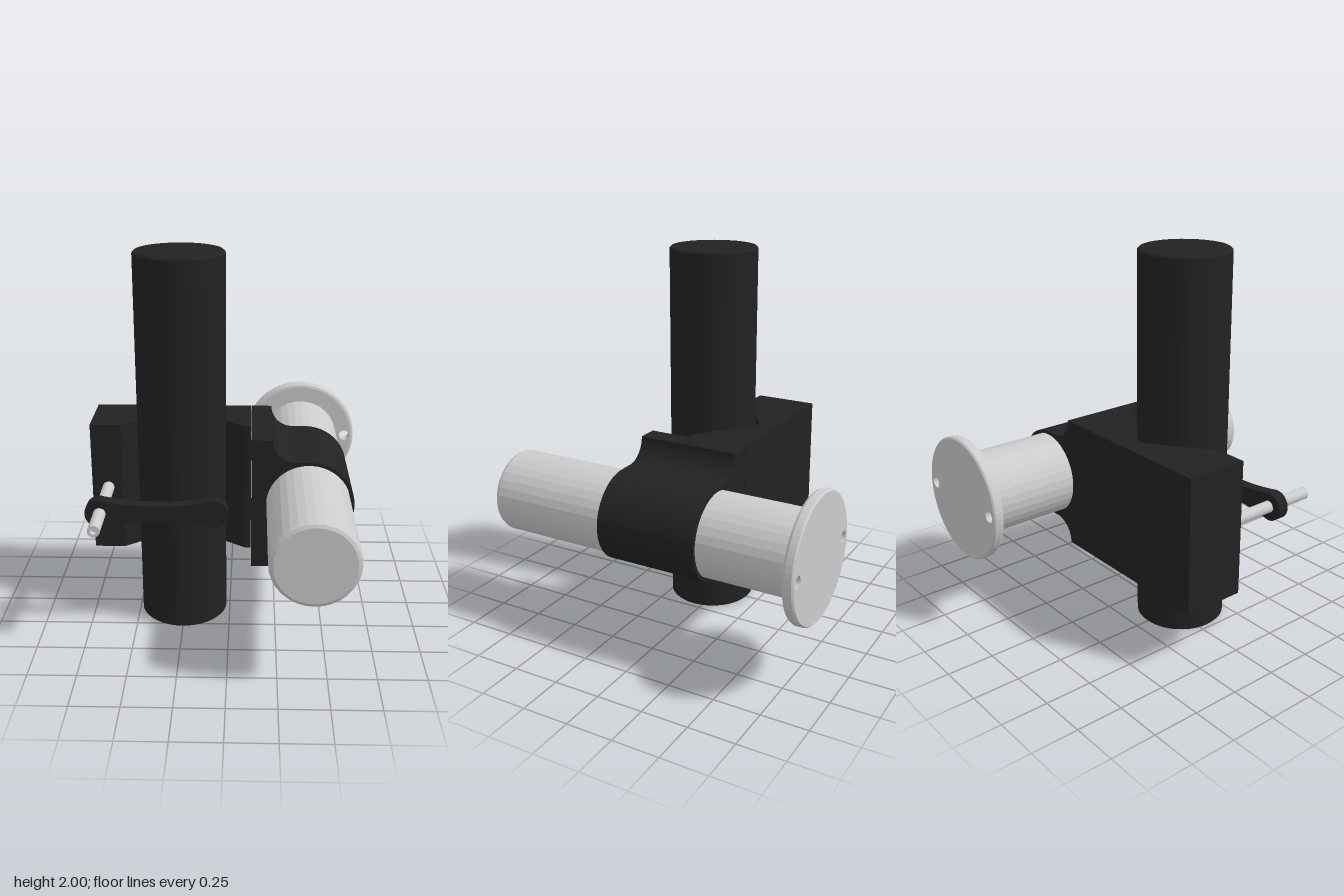
import * as THREE from 'three';

const grey = new THREE.MeshStandardMaterial({ color: 0xcccccc, flatShading: true });
const black = new THREE.MeshStandardMaterial({ color: 0x222222, flatShading: true });

const V = (x, y) => new THREE.Vector2(x, y);

// Solid of revolution from [radius, height] pairs, listed from the bottom up
const lathe = (pairs, sides) => new THREE.LatheGeometry(pairs.map(([r, h]) => V(r, h)), sides);

const extrude = (shape, depth, curveSegments = 16) =>
  new THREE.ExtrudeGeometry(shape, { depth, curveSegments, bevelEnabled: false });

function circleHole(x, y, r) {
  const path = new THREE.Path();
  path.absarc(x, y, r, 0, Math.PI * 2, true);
  return path;
}

export function createModel() {
  const group = new THREE.Group();
  const add = (name, geometry, material) => {
    const mesh = new THREE.Mesh(geometry, material);
    mesh.name = name;
    group.add(mesh);
    return mesh;
  };

  const MID = 0.70;      // height of the horizontal axis
  const PIPE_X = 0.415;  // axis of the horizontal pipe

  // Upright post with softened rims and a recess in its foot
  add('uprightPost', lathe([
    [0, 0.1], [0.165, 0.1], [0.165, 0], [0.223, 0], [0.233, 0.01],
    [0.233, 1.99], [0.223, 2], [0, 2],
  ], 40), black).position.set(-0.253, 0, 0.05);

  // Clamp block with a V notch that seats the post
  const block = new THREE.Shape([
    V(-0.75, 0), V(-0.585, 0), V(-0.275, 0.225), V(-0.232, 0.225),
    V(0.08, 0), V(0.114, 0), V(0.114, 0.335), V(-0.75, 0.335),
  ]);
  add('clampBlock', extrude(block, 0.72).rotateX(-Math.PI / 2), black).position.y = 0.34;

  // Sleeve around the horizontal pipe, flared into its mounting plate
  const sleeve = new THREE.Shape();
  sleeve.moveTo(0.116, 0.34);
  sleeve.lineTo(0.225, 0.34);
  sleeve.absarc(0.345, 0.34, 0.12, Math.PI, Math.PI / 2, true);
  sleeve.absarc(PIPE_X, MID, 0.24, -Math.PI / 2, Math.PI / 2, false);
  sleeve.absarc(0.345, 1.06, 0.12, -Math.PI / 2, -Math.PI, true);
  sleeve.lineTo(0.116, 1.06);
  sleeve.holes.push(circleHole(PIPE_X, MID, 0.223));
  add('pipeSleeve', extrude(sleeve, 0.55, 24), black).position.z = -0.335;

  // Horizontal pipe, rounded at the front
  add('horizontalPipe', lathe([
    [0, -0.835], [0.22, -0.835], [0.22, 0.862], [0.213, 0.879], [0.197, 0.887], [0, 0.887],
  ], 32).rotateX(Math.PI / 2), grey).position.set(PIPE_X, MID, 0);

  // End flange with two screw holes and a rounded front edge
  const disc = new THREE.Shape();
  disc.absarc(0, 0, 0.31, 0, Math.PI * 2, false);
  for (const side of [-1, 1]) disc.holes.push(circleHole(side * 0.275, 0, 0.031));
  add('endFlange', extrude(disc, 0.06, 32), grey).position.set(PIPE_X, MID, -0.89);
  add('flangeRim', lathe([
    [0.31, -0.89], [0.323, -0.89], [0.331, -0.882], [0.331, -0.848], [0.323, -0.834],
    [0.31, -0.83],
  ], 64).rotateX(Math.PI / 2), grey).position.set(PIPE_X, MID, 0);

  // Threaded rod with a socket in its tip
  add('clampRod', lathe([
    [0, -0.05], [0.032, -0.05], [0.032, 0.55], [0.017, 0.55], [0.017, 0.52], [0, 0.52],
  ], 16).rotateX(Math.PI / 2), grey).position.set(-0.663, MID, 0);

  // Lever bar: two round ends joined by a narrow waist
  const lever = new THREE.Shape();
  const end = 0.295, r = 0.075, a = 1.25;
  const ex = end - r * Math.cos(a), ey = r * Math.sin(a);
  lever.absarc(end, 0, r, -(Math.PI - a), Math.PI - a, false);
  lever.quadraticCurveTo(0, 0.018, -ex, ey);
  lever.absarc(-end, 0, r, a, Math.PI * 2 - a, false);
  lever.quadraticCurveTo(0, -0.018, ex, -ey);
  lever.holes.push(circleHole(-0.293, 0, 0.0325));
  add('clampLever', extrude(lever, 0.062, 20), black).position.set(-0.37, MID, 0.283);

  return group;
}
